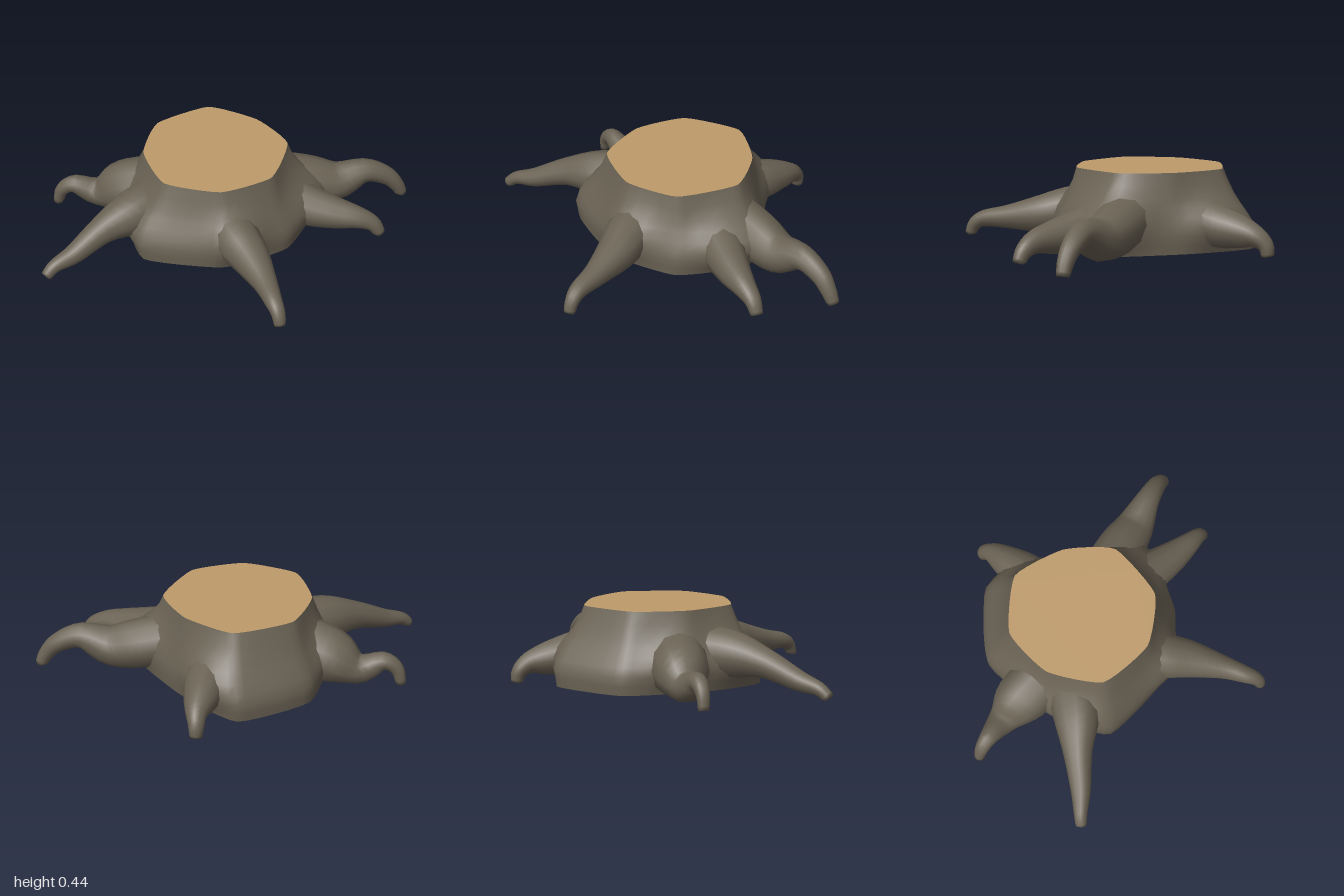
import * as THREE from 'three';

// Skin a list of closed rings (arrays of Vector3) with shared, smooth vertices
function loft(rings) {
  const n = rings[0].length, pos = [], idx = [];
  rings.forEach(r => r.forEach(p => pos.push(p.x, p.y, p.z)));
  for (let i = 0; i < rings.length - 1; i++) {
    for (let j = 0; j < n; j++) {
      const a = i * n + j, b = i * n + (j + 1) % n;
      idx.push(a, a + n, b, b, a + n, b + n);
    }
  }
  const g = new THREE.BufferGeometry();
  g.setAttribute('position', new THREE.Float32BufferAttribute(pos, 3));
  g.setIndex(idx);
  g.computeVertexNormals();
  return g;
}

// Tapered root through [x, y, z, radius] points, kept above the ground
function rootGeometry(points) {
  const spline = v => new THREE.CatmullRomCurve3(v, false, 'catmullrom', 0.5);
  const path = spline(points.map(p => new THREE.Vector3(p[0], p[1], p[2])));
  const radius = spline(points.map(p => new THREE.Vector3(p[3], 0, 0)));
  const a = points[0], b = points[points.length - 1];
  const side = new THREE.Vector3(b[2] - a[2], 0, a[0] - b[0]).normalize();
  const steps = (points.length - 1) * 4, sides = 12, rings = [];
  for (let i = 0; i <= steps + 1; i++) {
    const t = Math.min(i / steps, 1);
    const c = path.getPoint(t), r = i > steps ? 0.001 : radius.getPoint(t).x;
    const up = path.getTangent(t).cross(side).normalize();
    rings.push(Array.from({ length: sides }, (_, j) => {
      const w = j / sides * Math.PI * 2;
      const p = c.clone().addScaledVector(up, r * Math.cos(w)).addScaledVector(side, r * Math.sin(w));
      p.y = Math.max(p.y, 0);
      return p;
    }));
  }
  return loft(rings);
}

// Softened closed outline through [x, z] corners
function outline(corners) {
  const curve = new THREE.CatmullRomCurve3(
    corners.map(([x, z]) => new THREE.Vector3(x, 0, z)), true, 'catmullrom', 0.25);
  const n = corners.length * 6;
  return Array.from({ length: n }, (_, i) => curve.getPoint(i / n));
}

export function createModel() {
  const group = new THREE.Group();
  const bark = new THREE.MeshStandardMaterial({ name: 'bark', color: 0x6a6254 });
  const wood = new THREE.MeshStandardMaterial({ name: 'cutWood', color: 0xbe9b6b });
  const add = (name, geometry, material) => {
    const mesh = new THREE.Mesh(geometry, material);
    mesh.name = name;
    group.add(mesh);
  };

  // Roots arch out of the trunk and end on the ground
  const roots = {
    rightRoot: [[-0.15, 0.19, -0.22, 0.16], [-0.4, 0.19, -0.26, 0.135], [-0.6, 0.16, -0.31, 0.085],
      [-0.8, 0.085, -0.35, 0.058], [-0.92, 0.055, -0.385, 0.04], [-0.98, 0.01, -0.4, 0.032]],
    backRightRoot: [[-0.08, 0.2, -0.33, 0.16], [-0.19, 0.125, -0.53, 0.16], [-0.27, 0.075, -0.67, 0.09],
      [-0.36, 0.13, -0.77, 0.055], [-0.41, 0.09, -0.83, 0.04], [-0.425, 0, -0.855, 0.03]],
    backLeftRoot: [[0.36, 0.19, -0.2, 0.14], [0.55, 0.145, -0.31, 0.125], [0.67, 0.125, -0.4, 0.095],
      [0.75, 0.105, -0.46, 0.063], [0.79, 0.06, -0.505, 0.045], [0.8, 0, -0.515, 0.035]],
    frontLeftRoot: [[0.36, 0.2, 0.1, 0.15], [0.54, 0.15, 0.27, 0.145], [0.665, 0.125, 0.4, 0.12],
      [0.79, 0.185, 0.52, 0.075], [0.89, 0.14, 0.61, 0.057], [0.94, 0.07, 0.66, 0.045],
      [0.97, 0, 0.685, 0.035]],
    frontRoot: [[0.27, 0.2, 0.15, 0.14], [0.36, 0.13, 0.4, 0.125], [0.42, 0.11, 0.56, 0.098],
      [0.48, 0.1, 0.69, 0.068], [0.53, 0.065, 0.77, 0.048], [0.555, 0, 0.81, 0.035]],
    frontRightRoot: [[-0.06, 0.2, 0.1, 0.15], [-0.18, 0.155, 0.33, 0.135], [-0.24, 0.13, 0.48, 0.11],
      [-0.33, 0.11, 0.65, 0.07], [-0.41, 0.095, 0.77, 0.05], [-0.44, 0.06, 0.825, 0.04],
      [-0.455, 0, 0.85, 0.032]],
  };
  for (const [name, points] of Object.entries(roots)) add(name, rootGeometry(points), bark);

  // Cut outline and ground outline, matched corner by corner
  const H = 0.44, CX = 0.09, CZ = -0.08;
  const top = outline([[-0.33, -0.08], [-0.18, -0.37], [0.1, -0.51], [0.43, -0.39],
    [0.51, -0.08], [0.43, 0.21], [0.1, 0.35], [-0.19, 0.22]]);
  const base = outline([[-0.51, -0.09], [-0.29, -0.4], [0.1, -0.665], [0.54, -0.55],
    [0.59, -0.1], [0.51, 0.35], [0.1, 0.485], [-0.28, 0.3]]);

  // Trunk flares towards the ground and swells where each root leaves it
  const rootAngles = Object.values(roots).map(p => Math.atan2(p[1][2] - CZ, p[1][0] - CX));
  const swell = (angle, y) => rootAngles.reduce((sum, a) => {
    const d = Math.atan2(Math.sin(angle - a), Math.cos(angle - a));
    return sum + 0.085 * Math.exp(-((d / 0.28) ** 2) - ((y - 0.18) / 0.115) ** 2);
  }, 0);
  // [height, share of the ground outline]
  const levels = [[0, 0.98], [0.05, 1], [0.1, 1], [0.15, 0.86], [0.2, 0.68],
    [0.25, 0.5], [0.3, 0.34], [0.37, 0.16], [H, 0]];
  const rings = levels.map(([y, k]) => top.map((p, i) => {
    const q = p.clone().lerp(base[i], k).setY(y);
    const angle = Math.atan2(q.z - CZ, q.x - CX), s = y < H ? swell(angle, y) : 0;
    return q.add(new THREE.Vector3(Math.cos(angle) * s, 0, Math.sin(angle) * s));
  }));
  add('trunk', loft(rings), bark);

  // Flat cut face and underside
  const cut = new THREE.ShapeGeometry(new THREE.Shape(top.map(p => new THREE.Vector2(p.x, -p.z))));
  add('cutFace', cut.rotateX(-Math.PI / 2).translate(0, H, 0), wood);
  const under = new THREE.ShapeGeometry(new THREE.Shape(rings[0].map(p => new THREE.Vector2(p.x, p.z))));
  add('underside', under.rotateX(Math.PI / 2), bark);

  return group;
}
